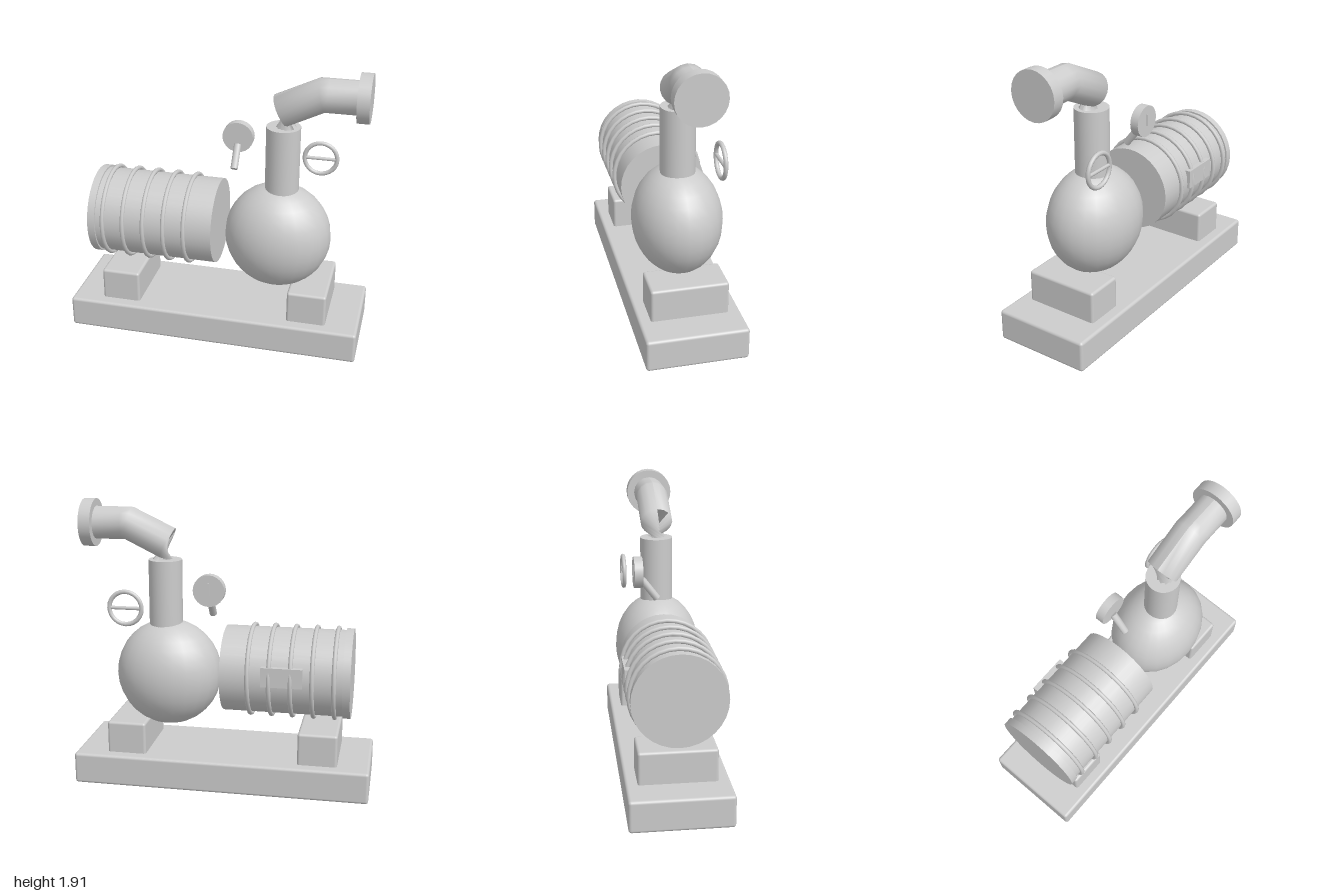
import * as THREE from 'three';
import { RoundedBoxGeometry } from 'three/addons/geometries/RoundedBoxGeometry.js';

// Tube through rings lying in the xy plane: each ring has a centre, axis angle, radius and twist.
function ringTube(rings, sides) {
  const pos = [], index = [];
  for (const { x, y, angle, r, twist = 0 } of rings) {
    for (let i = 0; i <= sides; i++) {
      const a = (i / sides) * Math.PI * 2 + twist;
      const u = r * Math.cos(a);
      pos.push(x - Math.sin(angle) * u, y + Math.cos(angle) * u, r * Math.sin(a));
    }
  }
  const n = sides + 1;
  for (let j = 0; j < rings.length - 1; j++) {
    for (let i = 0; i < sides; i++) {
      const a = j * n + i, b = a + n;
      index.push(a, a + 1, b, a + 1, b + 1, b);
    }
  }
  const g = new THREE.BufferGeometry();
  g.setAttribute('position', new THREE.Float32BufferAttribute(pos, 3));
  g.setIndex(index);
  g.computeVertexNormals();
  return g;
}

export function createModel() {
  const model = new THREE.Group();
  model.name = 'pump';
  const metal = new THREE.MeshStandardMaterial({ color: 0xcccccc });
  metal.name = 'greyMetal';
  const openMetal = metal.clone();
  openMetal.side = THREE.DoubleSide;

  const add = (name, geometry, x, y, z, material = metal) => {
    const mesh = new THREE.Mesh(geometry, material);
    mesh.name = name;
    mesh.position.set(x, y, z);
    model.add(mesh);
    return mesh;
  };
  const cylinder = (r, length, sides = 24) => new THREE.CylinderGeometry(r, r, length, sides);
  const alongX = (r, length, sides) => cylinder(r, length, sides).rotateZ(Math.PI / 2);

  // Base and the two mounting feet
  add('base', new RoundedBoxGeometry(2, 0.215, 0.665, 3, 0.02), 0, 0.1075, 0);
  add('motorFoot', new RoundedBoxGeometry(0.265, 0.25, 0.51, 3, 0.018), -0.652, 0.307, 0);
  add('pumpFoot', new RoundedBoxGeometry(0.265, 0.25, 0.51, 3, 0.018), 0.648, 0.307, 0);

  // Motor drum with end cap, cooling ribs and rear terminal box
  add('motorDrum', alongX(0.29, 0.81, 32), -0.405, 0.79, 0);
  add('motorEndCap', alongX(0.302, 0.05, 32), -0.83, 0.79, 0);
  for (let i = 0; i < 5; i++) {
    const rib = new THREE.TorusGeometry(0.302, 0.015, 8, 32).rotateY(Math.PI / 2);
    add('coolingRib', rib, -0.75 + i * 0.141, 0.79, 0);
  }
  add('terminalBox', new THREE.BoxGeometry(0.27, 0.13, 0.04), -0.412, 0.825, -0.289);

  // Pump housing and neck
  const housing = new THREE.SphereGeometry(1, 24, 16).scale(0.36, 0.367, 0.295);
  add('pumpHousing', housing, 0.4, 0.738, 0);
  add('neck', cylinder(0.113, 0.46), 0.418, 1.29, 0);

  // Outlet pipe, pinched by a half twist where it leaves the neck
  add('outletPipe', ringTube([
    { x: 0.425, y: 1.49, angle: Math.PI / 2, r: 0.1, twist: Math.PI * 0.85 },
    { x: 0.4, y: 1.63, angle: 0.48, r: 0.111 },
    { x: 0.66, y: 1.755, angle: 0.22, r: 0.112 },
    { x: 0.7, y: 1.755, angle: 0, r: 0.11 },
    { x: 0.9, y: 1.755, angle: 0, r: 0.11 },
  ], 16), 0, 0, 0, openMetal);
  add('outletFlange', alongX(0.16, 0.08), 0.928, 1.755, 0);

  // Pressure gauge with needle and slanted stem
  add('gaugeDial', cylinder(0.105, 0.058).rotateX(Math.PI / 2), 0.085, 1.355, -0.163);
  add('gaugeNeedle', new THREE.BoxGeometry(0.012, 0.08, 0.009), 0.085, 1.365, -0.195);
  const stem = add('gaugeStem', cylinder(0.025, 0.17, 12), 0.085, 1.237, -0.085);
  stem.rotation.x = -Math.atan2(0.1, 0.13);

  // Valve handwheel with a single spoke
  add('handwheelRim', new THREE.TorusGeometry(0.11, 0.015, 8, 24), 0.64, 1.225, -0.217);
  add('handwheelSpoke', alongX(0.012, 0.23, 8), 0.64, 1.225, -0.217);

  return model;
}
